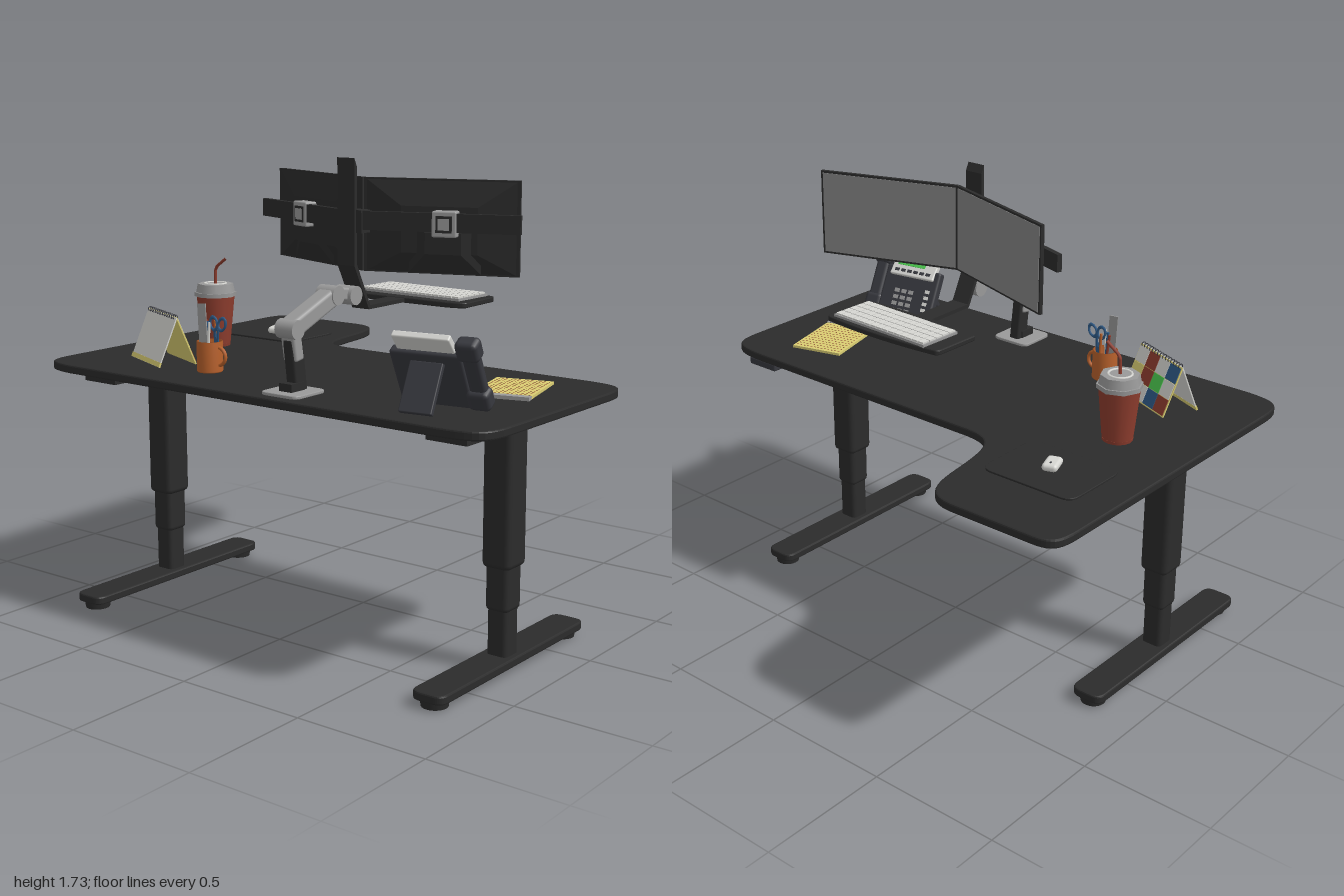
import * as THREE from 'three';
import { mergeGeometries } from 'three/addons/utils/BufferGeometryUtils.js';
import { RoundedBoxGeometry } from 'three/addons/geometries/RoundedBoxGeometry.js';

const mat = (name, color) => Object.assign(new THREE.MeshStandardMaterial({ color }), { name });
const M = {
  black: mat('black', 0x2b2b2b), slate: mat('slate', 0x37383e), metal: mat('metal', 0x999999),
  screen: mat('screenGrey', 0x858585), white: mat('white', 0xd6d6d2), red: mat('red', 0x8e3d2e),
  orange: mat('orange', 0xb8612c), yellow: mat('yellow', 0xd9cd72), green: mat('green', 0x4cc94f), blue: mat('blue', 0x2f5a86),
};

function add(parent, name, geo, material, x = 0, y = 0, z = 0, rx = 0, ry = 0, rz = 0) {
  const m = new THREE.Mesh(geo, material);
  m.name = name;
  m.position.set(x, y, z);
  m.rotation.set(rx, ry, rz);
  parent.add(m);
  return m;
}
function group(parent, name, x = 0, y = 0, z = 0, rx = 0, ry = 0) {
  const g = new THREE.Group();
  g.name = name;
  g.position.set(x, y, z);
  g.rotation.set(rx, ry, 0);
  parent.add(g);
  return g;
}
const box = (w, h, d) => new THREE.BoxGeometry(w, h, d);
const rbox = (w, h, d, r = 0.01) => new RoundedBoxGeometry(w, h, d, 2, r);
const cyl = (r1, r2, h, n = 24) => new THREE.CylinderGeometry(r1, r2, h, n);

// bar running from a to b
function beam(parent, name, material, a, b, w, h) {
  const p = new THREE.Vector3(...a), q = new THREE.Vector3(...b);
  const m = new THREE.Mesh(rbox(w, h, p.distanceTo(q), Math.min(w, h) * 0.2), material);
  m.name = name;
  m.position.copy(p).add(q).multiplyScalar(0.5);
  m.lookAt(q);
  parent.add(m);
}
// flat slab: outline in x and z, top face at y = 0
function slab(shape, depth, bevel = 0.006) {
  const g = new THREE.ExtrudeGeometry(shape, { depth: depth - 2 * bevel, bevelThickness: bevel, bevelSize: bevel, bevelOffset: -bevel, bevelSegments: 2, curveSegments: 10 });
  return g.translate(0, 0, bevel).rotateX(Math.PI / 2);
}
function roundRect(w, d, r) {
  const s = new THREE.Shape(), x = w / 2, z = d / 2;
  s.moveTo(-x + r, -z); s.lineTo(x - r, -z); s.quadraticCurveTo(x, -z, x, -z + r);
  s.lineTo(x, z - r); s.quadraticCurveTo(x, z, x - r, z);
  s.lineTo(-x + r, z); s.quadraticCurveTo(-x, z, -x, z - r);
  s.lineTo(-x, -z + r); s.quadraticCurveTo(-x, -z, -x + r, -z);
  return s;
}
// grid of equal small boxes in one geometry
function grid(nx, nz, w, d, kw, kh, kd) {
  const list = [];
  for (let i = 0; i < nx; i++) for (let j = 0; j < nz; j++)
    list.push(box(kw, kh, kd).translate(((i + 0.5) / nx - 0.5) * w, 0, ((j + 0.5) / nz - 0.5) * d));
  return mergeGeometries(list);
}
// box whose +z face is shrunk
function taperedBox(w, h, d, k, dy) {
  const g = box(w, h, d), p = g.attributes.position;
  for (let i = 0; i < p.count; i++) if (p.getZ(i) > 0) p.setXY(i, p.getX(i) * k, p.getY(i) * k + dy);
  g.computeVertexNormals();
  return g;
}

const TOP = 0.945;

function buildDesk(root) {
  const desk = group(root, 'desk');
  const s = new THREE.Shape();
  s.moveTo(-0.9, -0.705); s.lineTo(-0.57, -0.705);
  s.bezierCurveTo(-0.46, -0.7, -0.44, -0.62, -0.425, -0.5);
  s.bezierCurveTo(-0.4, -0.3, -0.38, -0.24, -0.25, -0.232);
  s.lineTo(0.82, -0.225); s.bezierCurveTo(0.96, -0.222, 1, -0.2, 1, -0.08);
  s.lineTo(1, 0.55); s.bezierCurveTo(1, 0.68, 0.96, 0.7, 0.82, 0.705);
  s.lineTo(-0.85, 0.7); s.bezierCurveTo(-0.97, 0.69, -1, 0.67, -1, 0.55);
  s.lineTo(-1, -0.58); s.bezierCurveTo(-1, -0.68, -0.98, -0.705, -0.9, -0.705);
  add(desk, 'desktop', slab(s, 0.032), M.black, 0, TOP, 0);
  add(desk, 'controlBox', rbox(0.14, 0.03, 0.1, 0.006), M.slate, 0.82, 0.9, -0.17);
  for (const z of [0.15, 0.34]) add(desk, 'crossBeam', box(1.7, 0.04, 0.035), M.black, 0, 0.893, z);
  for (const x of [-0.79, 0.79]) {
    const z0 = x < 0 ? -0.61 : -0.05;
    add(desk, 'sideBeam', box(0.16, 0.045, 0.6 - z0), M.black, x, 0.892, (0.6 + z0) / 2);
    const leg = group(desk, 'leg', x, 0, 0.245);
    add(leg, 'upperTube', rbox(0.113, 0.51, 0.118, 0.02), M.black, 0, 0.625, 0);
    add(leg, 'middleTube', rbox(0.092, 0.2, 0.096, 0.018), M.black, 0, 0.315, 0);
    add(leg, 'lowerTube', rbox(0.08, 0.2, 0.082, 0.016), M.black, 0, 0.14, 0);
    add(leg, 'foot', slab(roundRect(0.128, 0.92, 0.04), 0.032), M.black, 0, 0.057, 0);
    for (const z of [-0.405, 0.405]) add(leg, 'footPad', cyl(0.05, 0.046, 0.026), M.black, 0, 0.013, z);
  }
}

function buildMonitors(root) {
  const g = group(root, 'monitorStand');
  const X = 0.145;
  add(g, 'basePlate', slab(roundRect(0.165, 0.165, 0.03), 0.012, 0.003), M.metal, X, TOP + 0.012, 0.585);
  add(g, 'baseBlock', box(0.055, 0.03, 0.07), M.black, X, TOP + 0.025, 0.59);
  beam(g, 'post', M.black, [X, TOP, 0.56], [X, 1.14, 0.585], 0.045, 0.06);
  beam(g, 'armElbow', M.metal, [X, 1.06, 0.578], [X, 1.19, 0.6], 0.06, 0.045);
  beam(g, 'lowerArm', M.metal, [X, 1.165, 0.615], [X, 1.262, 0.37], 0.07, 0.065);
  beam(g, 'upperArm', M.metal, [X, 1.268, 0.4], [X, 1.25, 0.25], 0.05, 0.045);
  for (const [y, z] of [[1.17, 0.6], [1.262, 0.38], [1.25, 0.28]])
    add(g, 'joint', cyl(0.034, 0.034, 0.078), M.metal, X, y, z, 0, 0, Math.PI / 2);
  // bent carrier from the top of the mast down to the tray
  const s = new THREE.Shape([[0.29, 1.73], [0.275, 1.7], [0.275, 1.36], [0.198, 1.206], [-0.02, 1.206], [-0.02, 1.192], [0.205, 1.192], [0.29, 1.355]].map(p => new THREE.Vector2(...p)));
  add(g, 'carrier', new THREE.ExtrudeGeometry(s, { depth: 0.075, bevelEnabled: false }).rotateY(-Math.PI / 2), M.black, X + 0.0375, 0, 0);
  add(g, 'clamp', box(0.1, 0.08, 0.05), M.black, 0.155, 1.51, 0.255);
  // keyboard tray
  const t = new THREE.Shape();
  t.moveTo(-0.26, -0.115); t.quadraticCurveTo(0, -0.145, 0.26, -0.115); t.quadraticCurveTo(0.275, -0.11, 0.275, -0.09);
  t.lineTo(0.28, 0.085); t.quadraticCurveTo(0.27, 0.11, 0.2, 0.115); t.lineTo(-0.2, 0.115); t.quadraticCurveTo(-0.27, 0.11, -0.28, 0.085);
  t.lineTo(-0.275, -0.09); t.quadraticCurveTo(-0.275, -0.11, -0.26, -0.115);
  add(g, 'keyboardTray', slab(t, 0.02, 0.004), M.black, 0.155, 1.209, -0.125);
  const k = group(g, 'keyboard', 0.168, 1.212, -0.146, 0, -0.04);
  add(k, 'keyboardBase', box(0.46, 0.012, 0.18), M.metal);
  add(k, 'keys', grid(15, 5, 0.45, 0.172, 0.027, 0.008, 0.031), M.white, 0, 0.008, 0);
  // two angled monitors
  for (const d of [-1, 1]) {
    const m = group(g, 'monitor', 0.165, 1.495, 0.21, 0, d * 0.325);
    add(m, 'frame', box(0.562, 0.33, 0.014), M.black, d * 0.282);
    add(m, 'screen', box(0.546, 0.314, 0.003), M.screen, d * 0.282, 0, -0.0075);
    add(m, 'backShell', taperedBox(0.55, 0.325, 0.024, 0.5, -0.01), M.black, d * 0.282, 0, 0.018);
    add(m, 'backHump', taperedBox(0.26, 0.15, 0.025, 0.5, 0.03), M.black, d * 0.3, -0.085, 0.03);
    add(m, 'crossBar', box(0.58, 0.065, 0.02), M.black, d * 0.29, 0.02, 0.062);
    add(m, 'mount', rbox(0.088, 0.09, 0.05, 0.006), M.metal, d * 0.312, 0.015, 0.052);
    add(m, 'mountRecess', box(0.058, 0.058, 0.004), M.black, d * 0.312, 0.015, 0.077);
    add(m, 'mountCentre', box(0.04, 0.04, 0.005), M.metal, d * 0.312, 0.015, 0.079);
  }
}

function buildPhone(root) {
  const g = group(root, 'deskPhone', 0.66, TOP, 0.49, 0, 0.15);
  const b = group(g, 'phoneBody', -0.015, 0.1, -0.03, 0.5);
  add(b, 'body', rbox(0.26, 0.22, 0.04), M.slate);
  add(b, 'keypad', grid(3, 4, 0.1, 0.11, 0.022, 0.006, 0.016).rotateX(Math.PI / 2), M.metal, 0.02, -0.035, -0.021);
  add(b, 'sideButtons', grid(1, 5, 0.03, 0.13, 0.02, 0.006, 0.014).rotateX(Math.PI / 2), M.white, -0.09, -0.03, -0.021);
  const d = group(g, 'display', -0.015, 0.21, 0.025, 0.75);
  add(d, 'housing', rbox(0.21, 0.115, 0.026, 0.006), M.white);
  add(d, 'displayPanel', box(0.13, 0.05, 0.004), M.green, 0.015, 0.012, -0.0135);
  add(d, 'softKeys', grid(6, 1, 0.18, 0.02, 0.02, 0.006, 0.012).rotateX(Math.PI / 2), M.slate, 0, -0.036, -0.013);
  const h = group(g, 'handset', 0.152, 0.132, 0.0, 0.5);
  add(h, 'handle', rbox(0.06, 0.27, 0.04, 0.015), M.slate);
  for (const y of [-0.1, 0.1]) add(h, 'earpiece', rbox(0.08, 0.075, 0.06, 0.018), M.slate, 0, y, 0.005);
  beam(g, 'stand', M.slate, [0, 0.16, 0.04], [0, 0.006, 0.125], 0.12, 0.02);
}

function buildStationery(root) {
  // ruled notepad
  const n = group(root, 'notepad', 0.71, TOP, 0.08, 0, 0.26);
  add(n, 'paper', box(0.21, 0.01, 0.3), M.yellow, 0, 0.005, 0);
  add(n, 'binding', box(0.212, 0.013, 0.03), M.metal, 0, 0.0065, 0.142);
  add(n, 'ruling', grid(13, 12, 0.2, 0.26, 0.007, 0.001, 0.003), M.red, 0, 0.0105, -0.013);

  // tent calendar
  const c = group(root, 'calendar', -0.635, TOP, 0.415, 0, -0.4);
  add(c, 'frontLeaf', box(0.27, 0.195, 0.005), M.white, 0, 0.091, 0.037, -0.39);
  add(c, 'frontEdge', box(0.272, 0.018, 0.007), M.yellow, 0, 0.01, 0.071, -0.39);
  const p = group(c, 'pictureLeaf', 0, 0.091, -0.037, 0.39);
  add(p, 'card', box(0.27, 0.195, 0.005), M.yellow);
  const tints = [M.red, M.blue, M.white, M.orange, M.white, M.green, M.red, M.yellow, M.blue, M.white, M.red, M.white];
  tints.forEach((t, i) => add(p, 'picture', box(0.064, 0.06, 0.003), t, -0.099 + (i % 4) * 0.066, -0.062 + Math.floor(i / 4) * 0.062, -0.0035));
  for (let i = 0; i < 15; i++)
    add(c, 'bindingRing', new THREE.TorusGeometry(0.009, 0.0018, 5, 10), M.slate, -0.12 + i * 0.0172, 0.182, 0, 0, Math.PI / 2);

  // mug of pens
  const m = group(root, 'penMug', -0.35, TOP, 0.465);
  const prof = [[0, 0], [0.046, 0], [0.048, 0.004], [0.048, 0.113], [0.043, 0.113], [0.043, 0.01], [0, 0.01]].map(q => new THREE.Vector2(...q));
  add(m, 'mug', new THREE.LatheGeometry(prof, 24), M.orange);
  add(m, 'mugHandle', new THREE.TorusGeometry(0.032, 0.007, 8, 16, Math.PI), M.orange, 0.044, 0.06, 0, 0, 0, -Math.PI / 2);
  add(m, 'ruler', box(0.034, 0.22, 0.005), M.metal, -0.018, 0.14, 0.015, 0, 0.2, 0.04);
  [[M.red, -0.022, -0.02, 0.1], [M.orange, 0.004, -0.028, 0.02], [M.white, 0.012, 0.02, -0.08], [M.blue, -0.005, 0, 0.05]].forEach(([t, x, z, r]) => {
    add(m, 'pencil', cyl(0.005, 0.005, 0.17, 6), t, x, 0.1, z, 0, 0, r);
  });
  for (const d of [-1, 1]) {
    add(m, 'scissorLoop', new THREE.TorusGeometry(0.017, 0.005, 6, 16).scale(1, 1.4, 1), M.blue, 0.038 + d * 0.02, 0.178, -0.004, 0, 0, -0.15 - d * 0.3);
    add(m, 'scissorBlade', box(0.01, 0.14, 0.004), M.blue, 0.03 + d * 0.006, 0.09, -0.004 + d * 0.003, 0, 0, -d * 0.08);
  }
}

function buildDrinkAndMouse(root) {
  const c = group(root, 'drinkCup', -0.705, TOP, 0.045);
  add(c, 'cup', cyl(0.076, 0.056, 0.2, 16), M.red, 0, 0.108, 0);
  add(c, 'cupBase', cyl(0.057, 0.055, 0.012, 16), M.red, 0, 0.006, 0);
  add(c, 'lidRim', cyl(0.083, 0.083, 0.016, 8), M.metal, 0, 0.206, 0);
  add(c, 'lid', cyl(0.07, 0.077, 0.035, 8), M.metal, 0, 0.23, 0);
  add(c, 'lidRing', new THREE.TorusGeometry(0.042, 0.005, 6, 20), M.white, 0, 0.247, 0, Math.PI / 2);
  const path = new THREE.CurvePath();
  const v = [[0, 0.22], [0.002, 0.302], [0.012, 0.318], [0.06, 0.352]].map(q => new THREE.Vector3(q[0], q[1], 0));
  for (let i = 0; i < 3; i++) path.add(new THREE.LineCurve3(v[i], v[i + 1]));
  add(c, 'straw', new THREE.TubeGeometry(path, 24, 0.006, 8), M.red);

  add(root, 'mousePad', slab(roundRect(0.38, 0.29, 0.05), 0.008, 0.002), M.black, -0.68, TOP + 0.007, -0.305);
  const m = group(root, 'mouse', -0.677, TOP + 0.007, -0.295, 0, 0.35);
  add(m, 'mouseBody', rbox(0.056, 0.028, 0.085, 0.013), M.white, 0, 0.014, 0);
  add(m, 'scrollWheel', cyl(0.006, 0.006, 0.006, 12), M.slate, 0, 0.025, -0.02, 0, 0, Math.PI / 2);
}

export function createModel() {
  const root = new THREE.Group();
  root.name = 'workstation';
  buildDesk(root);
  buildMonitors(root);
  buildPhone(root);
  buildStationery(root);
  buildDrinkAndMouse(root);
  return root;
}
